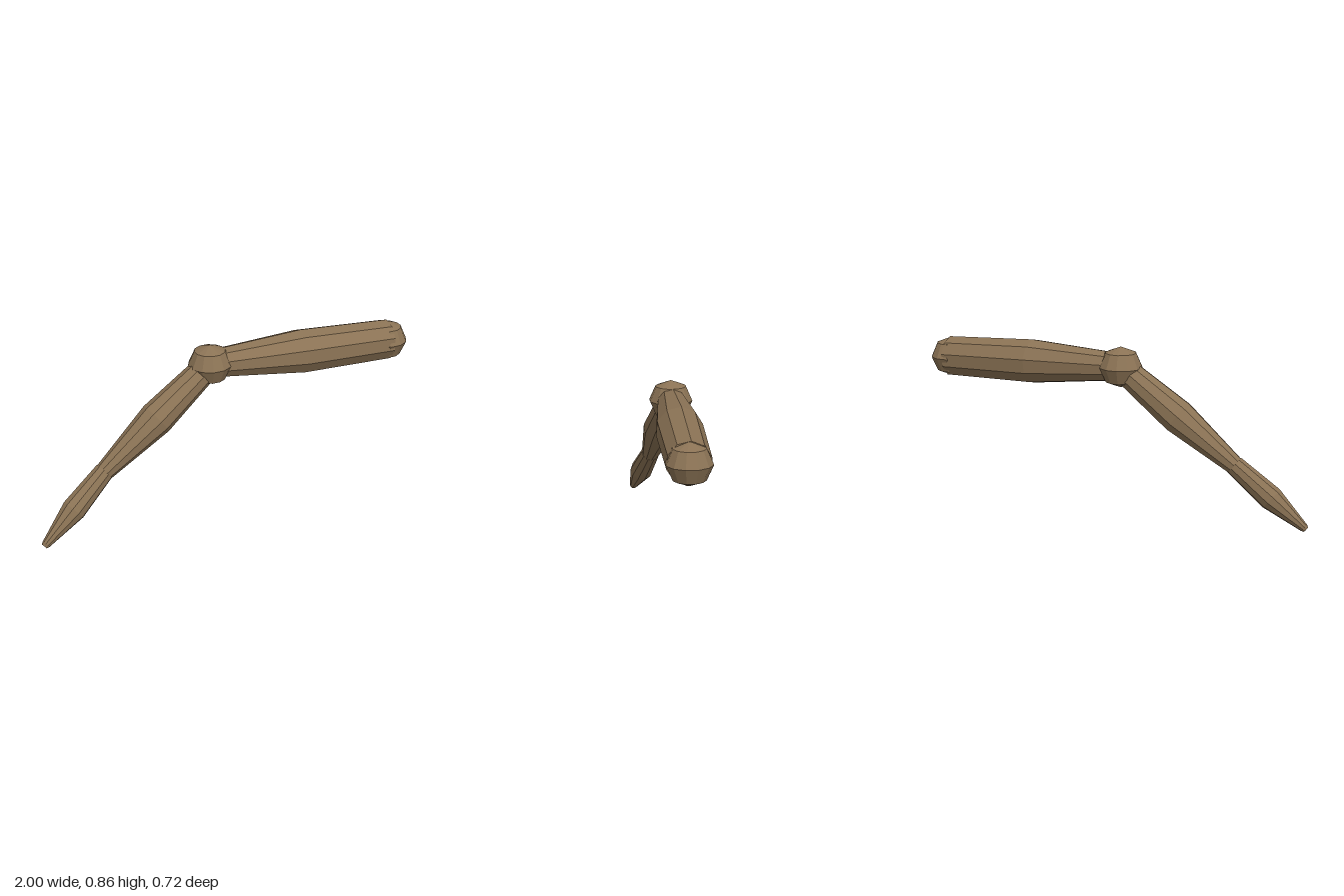
import * as THREE from 'three';

export function createModel() {
  const group = new THREE.Group();
  const brown = new THREE.MeshStandardMaterial({ color: 0x8b7355 });
  brown.name = 'brown';

  const shoulder = new THREE.Vector3(0.885, 0.711, -0.25);
  const elbow = new THREE.Vector3(-0.095, 0.757, -0.014);
  const wrist = new THREE.Vector3(-0.675, 0.303, 0.192);
  const tip = new THREE.Vector3(-0.985, 0.017, 0.345);

  const add = (name, geometry) => {
    // Faceted, low-poly surface
    const flat = geometry.toNonIndexed();
    flat.computeVertexNormals();
    const mesh = new THREE.Mesh(flat, brown);
    mesh.name = name;
    group.add(mesh);
    return mesh;
  };

  // Closed limb from one joint to the next; profile is [radius, fraction of length]
  const limb = (name, from, to, profile) => {
    const length = from.distanceTo(to);
    const points = [
      new THREE.Vector2(0, profile[0][1] * length),
      ...profile.map(([r, t]) => new THREE.Vector2(r, t * length)),
      new THREE.Vector2(0, profile[profile.length - 1][1] * length),
    ];
    const mesh = add(name, new THREE.LatheGeometry(points, 10));
    mesh.position.copy(from);
    mesh.quaternion.setFromUnitVectors(new THREE.Vector3(0, 1, 0), to.clone().sub(from).normalize());
  };

  // Ball joint, slightly squashed in height
  const joint = (name, centre) => {
    const mesh = add(name, new THREE.SphereGeometry(0.111, 12, 4).scale(1, 0.935, 1));
    mesh.position.copy(centre);
  };

  joint('shoulderJoint', shoulder);
  joint('elbowJoint', elbow);
  limb('upperArm', shoulder, elbow, [[0.106, 0], [0.115, 0.5], [0.07, 1]]);
  limb('forearm', elbow, wrist, [[0.066, 0], [0.088, 0.5], [0.046, 1]]);
  limb('hand', wrist, tip, [[0.05, -0.04], [0.062, 0.5], [0.022, 0.98], [0.016, 1.01]]);

  return group;
}
